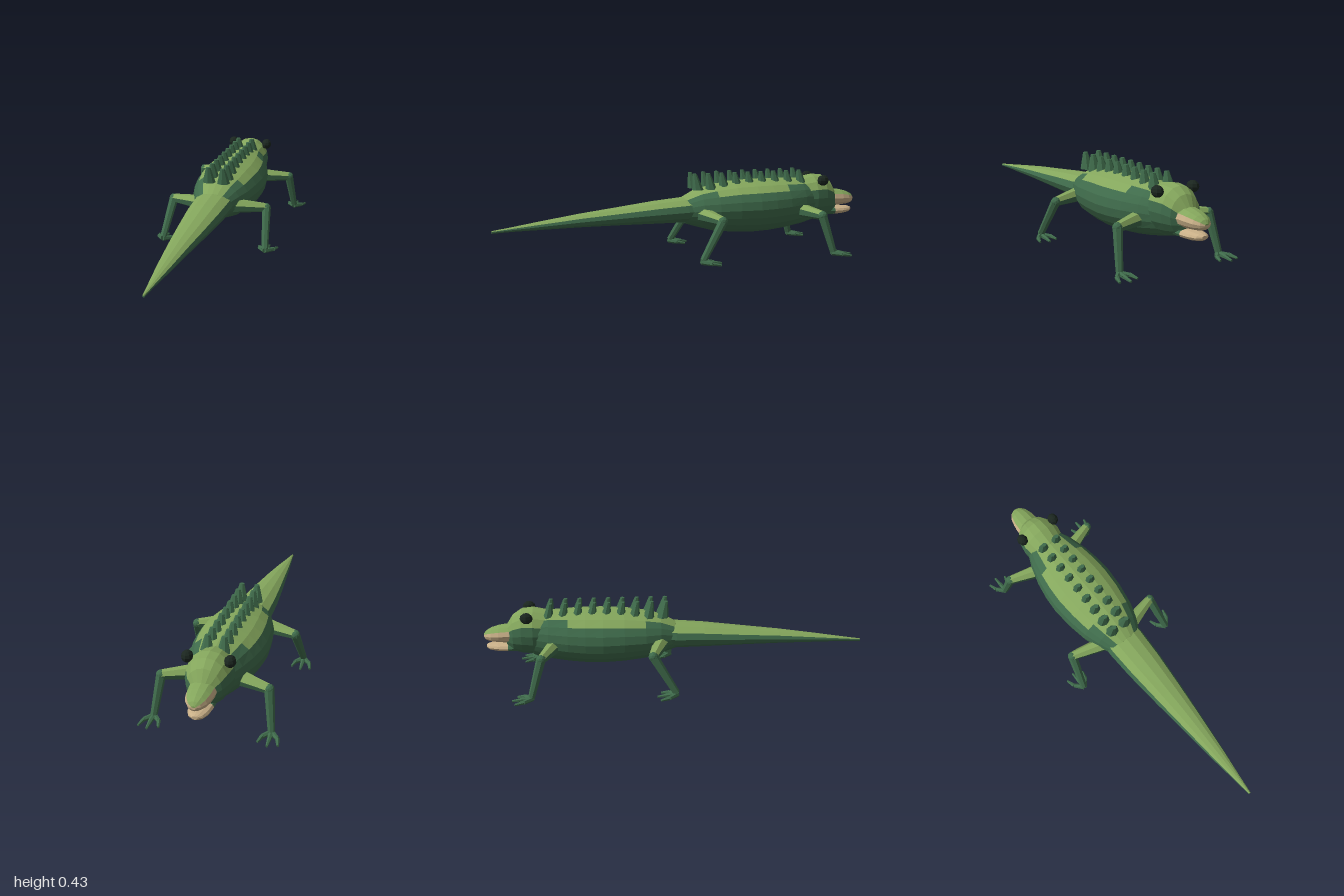
import * as THREE from 'three';

const mat = (name, color) => {
  const m = new THREE.MeshStandardMaterial({ color, flatShading: true });
  m.name = name;
  return m;
};

export function createModel() {
  const light = mat('light green', 0x84a65c);
  const dark = mat('dark green', 0x3f6b4b);
  const tan = mat('tan', 0xc9b088);
  const black = mat('eye black', 0x1b261f);
  const model = new THREE.Group();

  const add = (name, geo, material, parent = model) => {
    const mesh = new THREE.Mesh(geo, material);
    mesh.name = name;
    parent.add(mesh);
    return mesh;
  };

  // Skin over oval rings [z, halfWidth, yBottom, yTop], ordered from +z to -z.
  // pick(z, steps) says which material a face gets; steps counts faces from the top ridge.
  function loft(name, rows, n, materials, pick) {
    const pos = [];
    const buckets = materials.map(() => []);
    rows.forEach(([z, w, b, t]) => {
      for (let j = 0; j < n; j++) {
        const a = (j / n) * Math.PI * 2;
        pos.push(w * Math.sin(a), (b + t) / 2 + ((t - b) / 2) * Math.cos(a), z);
      }
    });
    const last = rows.length - 1;
    const first = rows.length * n;
    [rows[0], rows[last]].forEach(([z, , b, t]) => pos.push(0, (b + t) / 2, z));
    for (let j = 0; j < n; j++) {
      const k = (j + 1) % n;
      const steps = Math.min(j, n - 1 - j);
      for (let i = 0; i < last; i++) {
        const A = i * n + j, B = i * n + k, C = B + n, D = A + n;
        buckets[pick((rows[i][0] + rows[i + 1][0]) / 2, steps)].push(A, B, D, B, C, D);
      }
      buckets[pick(rows[0][0], steps)].push(first, k, j);
      buckets[pick(rows[last][0], steps)].push(first + 1, last * n + j, last * n + k);
    }
    const geo = new THREE.BufferGeometry();
    geo.setAttribute('position', new THREE.Float32BufferAttribute(pos, 3));
    geo.setIndex(buckets.flat());
    let start = 0;
    buckets.forEach((f, m) => { geo.addGroup(start, f.length, m); start += f.length; });
    geo.computeVertexNormals();
    return add(name, geo, materials);
  }

  // Tapered limb piece between two points
  function limb(p, q, r0, r1, sides = 7) {
    const a = new THREE.Vector3(...p), b = new THREE.Vector3(...q);
    const d = b.clone().sub(a);
    const geo = new THREE.CylinderGeometry(r1, r0, d.length(), sides);
    geo.applyQuaternion(new THREE.Quaternion().setFromUnitVectors(new THREE.Vector3(0, 1, 0), d.normalize()));
    const c = a.add(b).multiplyScalar(0.5);
    return geo.translate(c.x, c.y, c.z);
  }

  // Give upward faces the first material and the rest the second
  function splitByUp(geo, limit) {
    const g = geo.toNonIndexed();
    const p = g.attributes.position;
    const v = [0, 1, 2].map(() => new THREE.Vector3());
    g.clearGroups();
    for (let i = 0; i < p.count; i += 3) {
      v.forEach((u, k) => u.fromBufferAttribute(p, i + k));
      const up = v[1].clone().sub(v[0]).cross(v[2].clone().sub(v[0])).normalize().y > limit;
      g.addGroup(i, 3, up ? 0 : 1);
    }
    return g;
  }

  // Body, tail and head
  loft('body', [
    [0.02, 0.03, 0.2, 0.27], [0, 0.09, 0.17, 0.31], [-0.08, 0.13, 0.145, 0.35],
    [-0.16, 0.158, 0.122, 0.37], [-0.27, 0.177, 0.11, 0.386], [-0.38, 0.185, 0.105, 0.391],
    [-0.47, 0.179, 0.108, 0.392], [-0.56, 0.164, 0.117, 0.39], [-0.66, 0.135, 0.132, 0.385],
    [-0.74, 0.1, 0.15, 0.37], [-0.8, 0.05, 0.2, 0.3],
  ], 20, [light, dark], (z, s) => (s < (z < -0.12 && z > -0.57 ? 3 : 2) ? 0 : 1));

  loft('tail', [
    [1, 0.006, 0.172, 0.186], [0.9, 0.018, 0.176, 0.2], [0.75, 0.038, 0.178, 0.222],
    [0.55, 0.06, 0.18, 0.25], [0.35, 0.081, 0.179, 0.273], [0.15, 0.099, 0.176, 0.297],
    [0, 0.106, 0.174, 0.31], [-0.1, 0.1, 0.18, 0.315],
  ], 12, [light, dark], (z, s) => (s < 2 ? 0 : 1));

  loft('head', [
    [-0.58, 0.05, 0.2, 0.34], [-0.66, 0.1, 0.165, 0.388], [-0.74, 0.115, 0.158, 0.405],
    [-0.8, 0.105, 0.163, 0.4], [-0.845, 0.085, 0.175, 0.37], [-0.88, 0.045, 0.2, 0.315],
  ], 16, [light, dark], (z, s) => (s < 3 ? 0 : 1));

  loft('upperSnout', [
    [-0.8, 0.065, 0.215, 0.325], [-0.87, 0.066, 0.22, 0.318], [-0.92, 0.062, 0.224, 0.311],
    [-0.96, 0.051, 0.228, 0.3], [-0.988, 0.032, 0.236, 0.285], [-1, 0.012, 0.25, 0.268],
  ], 12, [light, tan], (z, s) => (s < 2 ? 0 : 1));

  loft('lowerJaw', [
    [-0.8, 0.056, 0.172, 0.224], [-0.875, 0.056, 0.173, 0.222], [-0.93, 0.051, 0.176, 0.22],
    [-0.97, 0.036, 0.182, 0.216], [-0.988, 0.014, 0.192, 0.21],
  ], 12, [dark, tan], (z) => (z > -0.86 ? 0 : 1));

  // Two rows of blunt back spikes leaning towards the tail
  for (const side of [1, -1]) {
    for (let i = 0; i < 9; i++) {
      const geo = new THREE.CylinderGeometry(0.013, 0.036, 0.085, 7);
      const p = geo.attributes.position;
      for (let k = 0; k < p.count; k++) p.setZ(k, p.getZ(k) * 0.85 + (p.getY(k) + 0.0425) * 0.2);
      geo.translate(side * 0.04, 0.393, -0.665 + i * 0.0745);
      add('backSpike', geo, dark);
    }
  }

  for (const s of [1, -1]) {
    const sideName = s > 0 ? 'left' : 'right';

    // Eyes
    const eye = add(sideName + 'Eye', new THREE.SphereGeometry(1, 8, 6), black);
    eye.scale.set(0.028, 0.029, 0.033);
    eye.position.set(s * 0.101, 0.379, -0.768);

    // Legs: hip, knee and ankle depths
    for (const [kind, hipZ, kneeZ, ankleZ] of [['Front', -0.63, -0.69, -0.745], ['Hind', -0.08, -0.13, -0.015]]) {
      const leg = new THREE.Group();
      leg.name = sideName + kind + 'Leg';
      model.add(leg);
      const hip = [s * 0.09, 0.226, hipZ];
      const knee = [s * 0.262, 0.216, kneeZ];
      const ankle = [s * 0.287, 0.025, ankleZ];
      add('upperLeg', splitByUp(limb(hip, knee, 0.041, 0.024), 0.5), [light, dark], leg);
      add('knee', new THREE.IcosahedronGeometry(0.025, 1).translate(...knee), dark, leg);
      add('lowerLeg', limb(knee, ankle, 0.025, 0.018), dark, leg);

      // Three splayed toes
      const palm = [s * 0.287, 0.018, ankleZ + 0.005];
      for (const [dx, dz] of [[-0.048, -0.075], [0.002, -0.098], [0.05, -0.082]]) {
        const mid = [palm[0] + s * dx * 0.75, 0.014, ankleZ + dz * 0.45];
        const tip = [palm[0] + s * dx, 0.007, ankleZ + dz];
        add('toeBase', limb(palm, mid, 0.014, 0.011, 6), dark, leg);
        add('toeTip', limb(mid, tip, 0.011, 0.006, 6), dark, leg);
      }
    }
  }
  return model;
}
